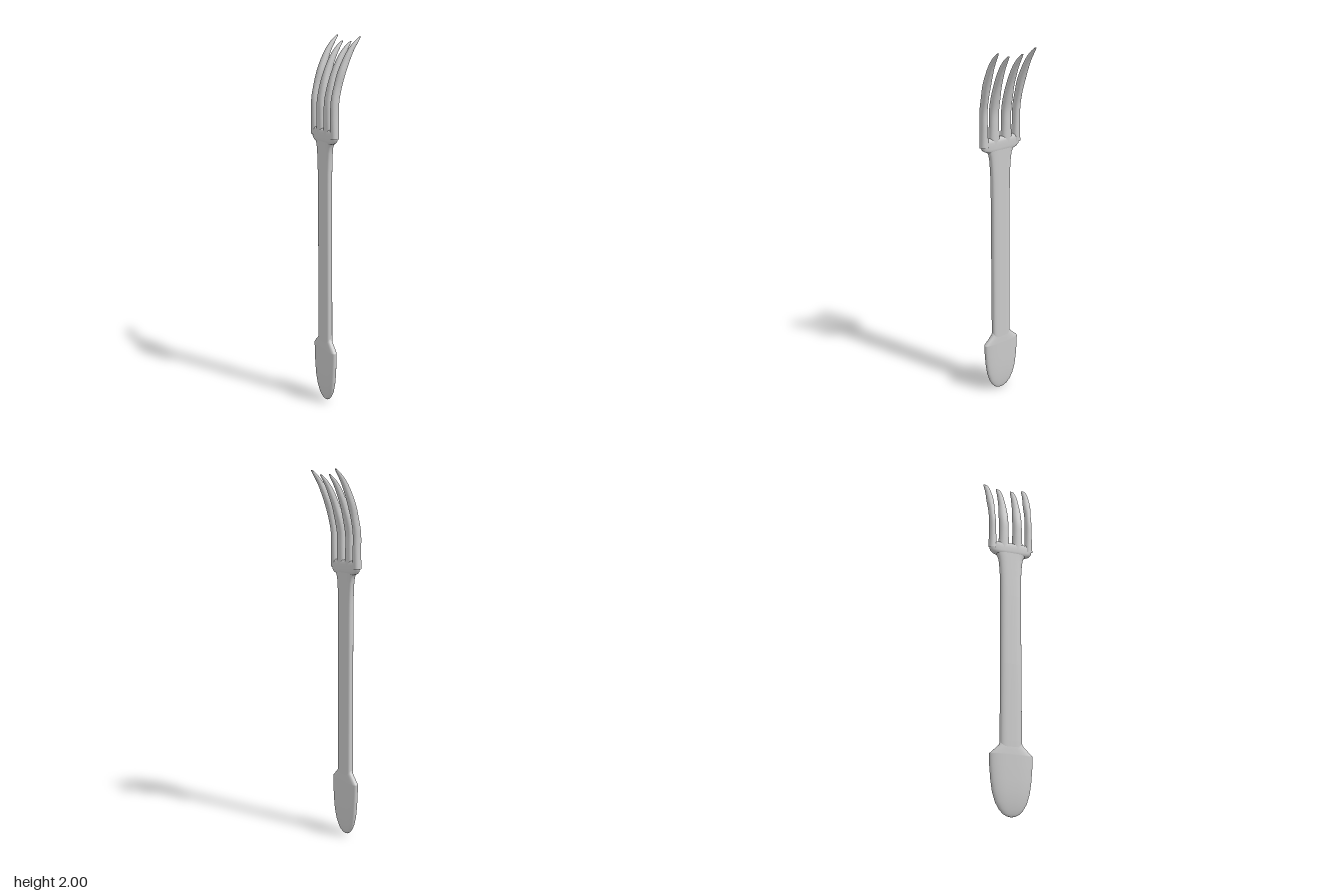
import * as THREE from 'three';

const material = new THREE.MeshStandardMaterial({ color: 0xcccccc });
const SIDES = 40;

// Skins horizontal rounded rings, listed upward as {x, y, z, w, t} (w, t = half width and half depth)
function loft(name, rings, power) {
  const pos = [], index = [];
  const soft = (v) => Math.sign(v) * Math.abs(v) ** (2 / power);
  rings.forEach((r, j) => {
    for (let i = 0; i < SIDES; i++) {
      const a = (i / SIDES) * Math.PI * 2;
      pos.push(r.x + r.w * soft(Math.cos(a)), r.y, r.z + r.t * soft(Math.sin(a)));
      if (j === 0) continue;
      const n = (i + 1) % SIDES, lo = (j - 1) * SIDES, up = j * SIDES;
      index.push(lo + i, up + i, lo + n, up + i, up + n, lo + n);
    }
  });
  const geometry = new THREE.BufferGeometry();
  geometry.setAttribute('position', new THREE.Float32BufferAttribute(pos, 3));
  geometry.setIndex(index);
  geometry.computeVertexNormals();
  const mesh = new THREE.Mesh(geometry, material);
  mesh.name = name;
  return mesh;
}

const centred = (rows) => rows.map(([y, w, t]) => ({ x: 0, y, z: 0, w, t }));

// One tine: upright at the root, then curving backward to a tapered tip
function tine(name, side, { root, tip, top, rootWidth, bend }) {
  // half width, height, backward offset
  const spine = new THREE.CatmullRomCurve3([
    [rootWidth + 0.004, 1.49, 0], [rootWidth + 0.002, 1.54, 0], [rootWidth, 1.6, 0],
    [rootWidth - 0.001, 1.68, -0.002], [rootWidth - 0.002, 1.75, -0.016], [0.02, 1.82, -0.036],
    [0.017, 1.88, -0.06], [0.014, 1.93, -0.085], [0.011, 1.97, -0.113], [0.005, 2, -0.14],
  ].map((p) => new THREE.Vector3(...p)));
  const rings = spine.getPoints(45).map((p) => {
    const f = (p.y - 1.49) / 0.51;
    return {
      x: side * THREE.MathUtils.lerp(root, tip, f * f),
      y: 1.49 + f * (top - 1.49),
      z: p.z * bend,
      w: p.x,
      t: 0.022 * Math.sqrt(Math.max(0.02, 1 - f ** 6)),
    };
  });
  rings.push({ ...rings[rings.length - 1], w: 0.0005, t: 0.0005 });
  return loft(name, rings, 2.4);
}

export function createModel() {
  const group = new THREE.Group();
  group.name = 'fork';

  // Paddle-shaped grip end, rounded at the bottom and with sloped shoulders
  group.add(loft('gripEnd', centred([
    [0, 0.002, 0.002], [0.004, 0.022, 0.006], [0.015, 0.042, 0.01], [0.035, 0.061, 0.014],
    [0.07, 0.081, 0.018], [0.12, 0.096, 0.021], [0.18, 0.105, 0.022], [0.25, 0.111, 0.022],
    [0.308, 0.113, 0.022], [0.313, 0.112, 0.022], [0.34, 0.084, 0.021],
    [0.362, 0.062, 0.02], [0.38, 0.056, 0.018],
  ]), 3));

  // Long bar, flaring gently into the neck
  group.add(loft('handle', centred([
    [0.35, 0.057, 0.021], [0.38, 0.057, 0.021], [0.8, 0.057, 0.021], [1.2, 0.057, 0.021],
    [1.3, 0.058, 0.021], [1.36, 0.061, 0.021], [1.41, 0.065, 0.021], [1.44, 0.071, 0.021],
    [1.46, 0.081, 0.021], [1.475, 0.095, 0.021],
  ]), 3.5));

  // Crossbar carrying the tines, with rounded lower corners
  group.add(loft('crown', centred([
    [1.456, 0.06, 0.01], [1.46, 0.09, 0.018], [1.466, 0.104, 0.021], [1.478, 0.116, 0.022],
    [1.495, 0.121, 0.022], [1.51, 0.122, 0.022], [1.522, 0.121, 0.02], [1.53, 0.118, 0.014],
    [1.533, 0.112, 0.002],
  ]), 3.5));

  // Four tines, mirrored in pairs
  const outer = { root: 0.104, tip: 0.117, top: 2, rootWidth: 0.019, bend: 1 };
  const inner = { root: 0.039, tip: 0.043, top: 1.975, rootWidth: 0.027, bend: 0.92 };
  for (const [side, label] of [[1, 'left'], [-1, 'right']]) {
    group.add(tine(label + 'OuterTine', side, outer), tine(label + 'InnerTine', side, inner));
  }

  // The fork stands turned about its upright axis
  group.rotation.y = -0.35;
  group.position.set(-0.02, 0, 0.057);
  return group;
}
